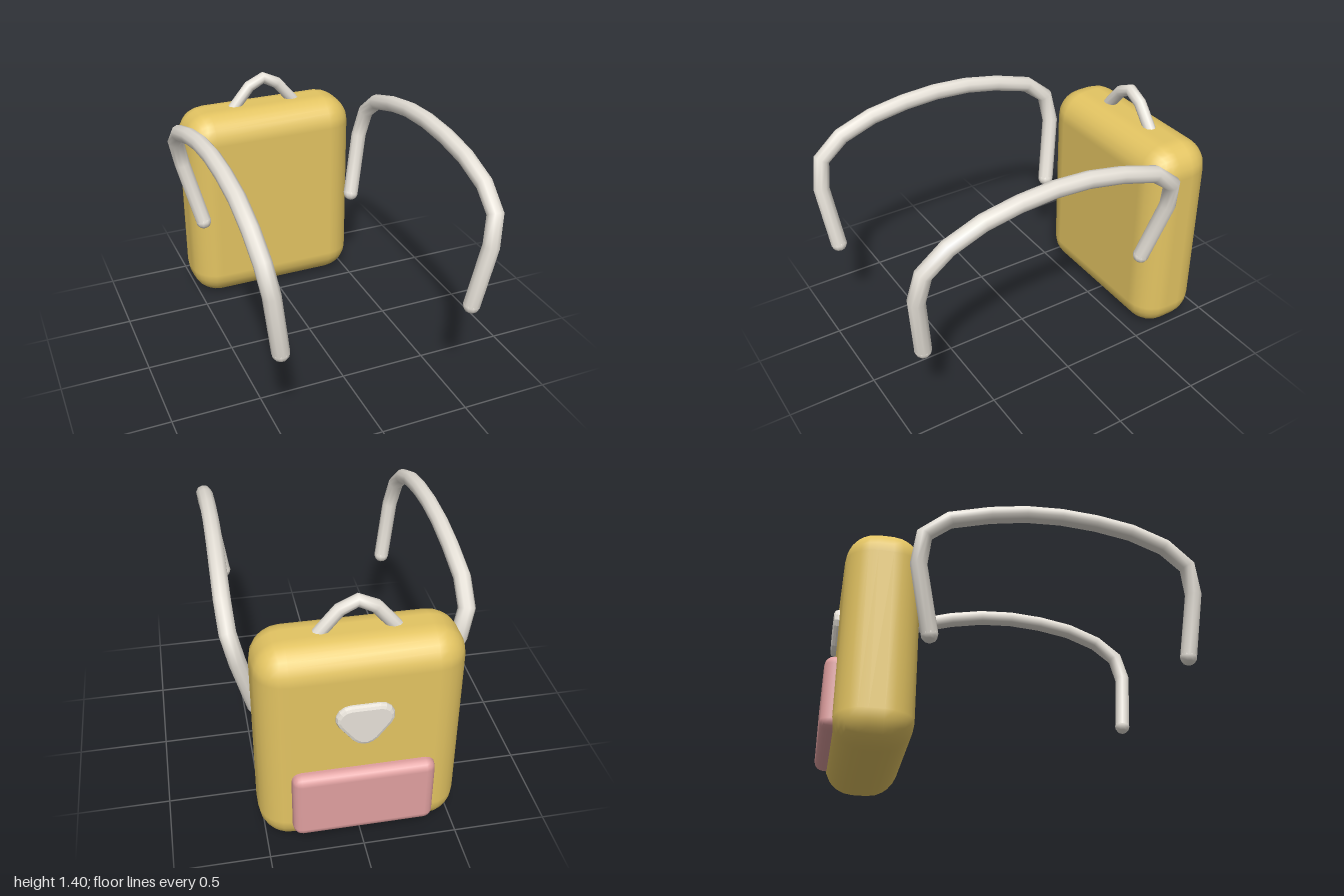
import * as THREE from 'three';
import { RoundedBoxGeometry } from 'three/addons/geometries/RoundedBoxGeometry.js';

const yellow = new THREE.MeshStandardMaterial({ color: 0xe3c462 });
const pink = new THREE.MeshStandardMaterial({ color: 0xdf9f9f });
const cream = new THREE.MeshStandardMaterial({ color: 0xe6e1d8 });

function part(name, geometry, material, x = 0, y = 0, z = 0) {
  const mesh = new THREE.Mesh(geometry, material);
  mesh.name = name;
  mesh.position.set(x, y, z);
  return mesh;
}

// Tube whose rings sit exactly on the given points, for a faceted path
function ropeGeometry(points, radius) {
  const curve = new THREE.CatmullRomCurve3(points.map(p => new THREE.Vector3(...p)));
  curve.getUtoTmapping = u => u;
  return new THREE.TubeGeometry(curve, points.length - 1, radius, 10);
}

// Shoulder strap with rounded ends; side is +1 for left, -1 for right
function createStrap(side) {
  const path = [
    [0.53, 0.61, 0.915], [0.583, 0.97, 0.953], [0.61, 1.13, 0.92], [0.617, 1.235, 0.79],
    [0.615, 1.305, 0.6], [0.613, 1.338, 0.4], [0.612, 1.35, 0.2], [0.613, 1.338, 0],
    [0.615, 1.3, -0.2], [0.617, 1.235, -0.42], [0.61, 1.13, -0.55], [0.575, 0.97, -0.57],
    [0.49, 0.61, -0.488],
  ].map(([x, y, z]) => [x * side, y, z]);
  const strap = new THREE.Group();
  strap.name = side > 0 ? 'leftStrap' : 'rightStrap';
  strap.add(part('strapTube', ropeGeometry(path, 0.046), cream));
  for (const end of [path[0], path[path.length - 1]]) {
    strap.add(part('strapEnd', new THREE.SphereGeometry(0.046, 10, 8), cream, ...end));
  }
  return strap;
}

// Rounded inverted triangle with a soft bevel
function badgeGeometry() {
  const s = new THREE.Shape();
  s.moveTo(-0.07, 0.1);
  s.lineTo(0.07, 0.1);
  s.bezierCurveTo(0.115, 0.1, 0.145, 0.05, 0.115, 0.01);
  s.lineTo(0.05, -0.075);
  s.quadraticCurveTo(0, -0.125, -0.05, -0.075);
  s.lineTo(-0.115, 0.01);
  s.bezierCurveTo(-0.145, 0.05, -0.115, 0.1, -0.07, 0.1);
  return new THREE.ExtrudeGeometry(s, {
    depth: 0.04, bevelThickness: 0.02, bevelSize: 0.02, bevelSegments: 2, curveSegments: 5,
  });
}

export function createModel() {
  const model = new THREE.Group();
  model.name = 'backpack';

  // Main bag and the pocket on its back
  model.add(part('bag', new RoundedBoxGeometry(1.06, 1.22, 0.41, 3, 0.165), yellow, 0, 0.61, -0.735));
  model.add(part('pocket', new RoundedBoxGeometry(0.74, 0.4, 0.14, 2, 0.05), pink, 0, 0.31, -0.93));
  model.add(part('badge', badgeGeometry(), cream, 0, 0.79, -0.95));

  // Carrying loop on top
  const loop = [
    [-0.25, 1.13, 0], [-0.178, 1.22, 0], [-0.088, 1.327, 0], [0, 1.37, 0],
    [0.088, 1.327, 0], [0.178, 1.22, 0], [0.25, 1.13, 0],
  ];
  model.add(part('topHandle', ropeGeometry(loop, 0.035), cream, 0, 0, -0.733));

  // Pair of shoulder straps
  for (const side of [1, -1]) model.add(createStrap(side));
  return model;
}
